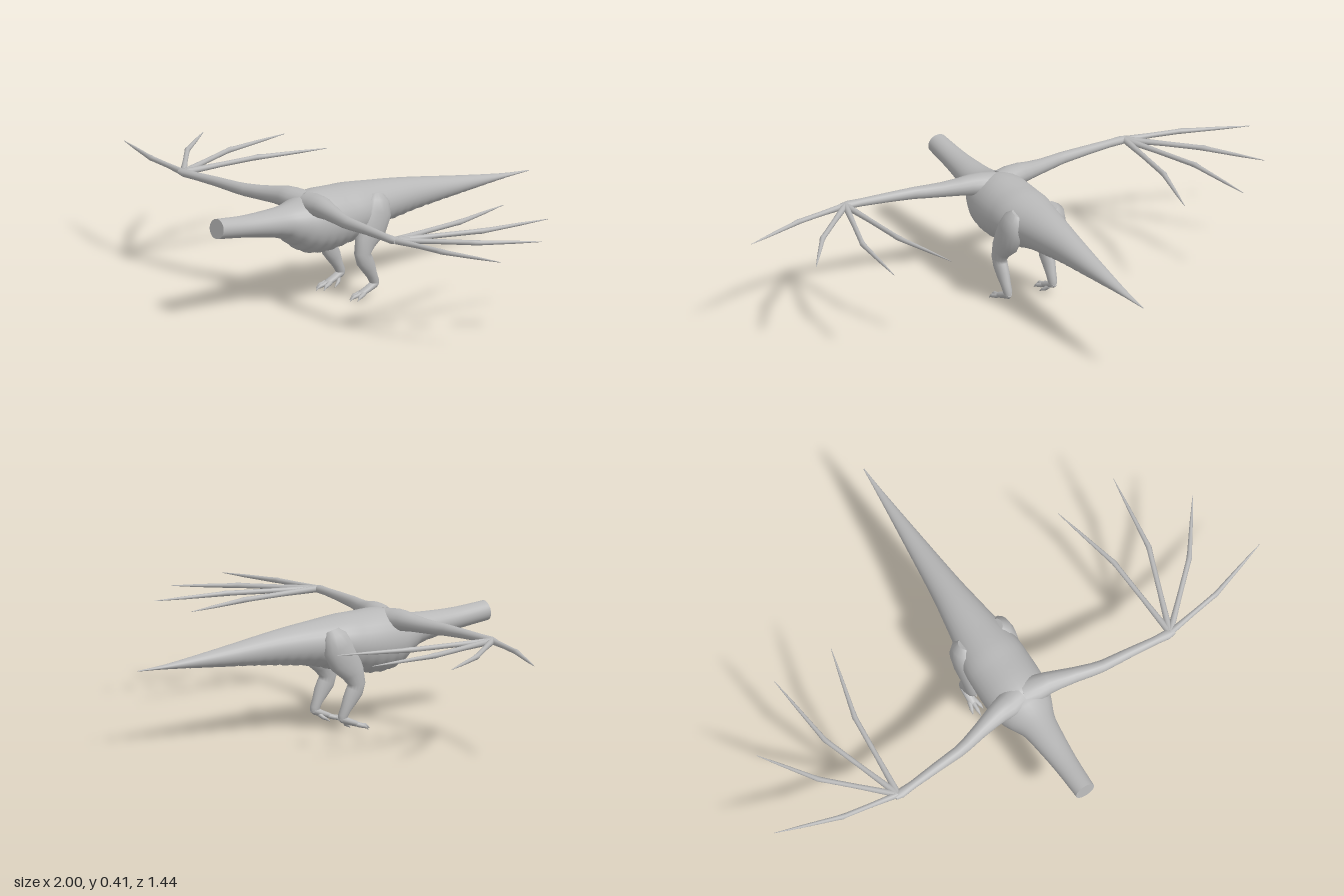
import * as THREE from 'three';

const skin = new THREE.MeshStandardMaterial({ color: 0xb8b8b8 });
skin.name = 'grey skin';

// Closed skin over elliptical rings [x, y, z, sideRadius, refRadius]; ref is the direction of the second radius.
function loft(rings, ref, sides) {
  const pos = [], idx = [];
  const centres = rings.map(r => new THREE.Vector3(r[0], r[1], r[2]));
  const n = rings.length;
  rings.forEach((r, i) => {
    const t = centres[Math.min(i + 1, n - 1)].clone().sub(centres[Math.max(i - 1, 0)]).normalize();
    const u = ref.clone().cross(t).normalize();
    const v = t.clone().cross(u);
    for (let j = 0; j < sides; j++) {
      const a = (j / sides) * Math.PI * 2;
      const p = centres[i].clone()
        .addScaledVector(u, Math.cos(a) * r[3])
        .addScaledVector(v, Math.sin(a) * (r[4] ?? r[3]));
      pos.push(p.x, p.y, p.z);
    }
  });
  for (let i = 0; i < n - 1; i++) {
    for (let j = 0; j < sides; j++) {
      const a = i * sides + j, b = i * sides + (j + 1) % sides;
      idx.push(a, b, a + sides, b, b + sides, a + sides);
    }
  }
  // Flat end caps with their own vertices keep a hard rim
  for (const end of [0, n - 1]) {
    const base = pos.length / 3;
    for (let j = 0; j < sides; j++) {
      const k = (end * sides + j) * 3;
      pos.push(pos[k], pos[k + 1], pos[k + 2]);
    }
    for (let j = 1; j < sides - 1; j++) {
      if (end) idx.push(base, base + j, base + j + 1);
      else idx.push(base, base + j + 1, base + j);
    }
  }
  const g = new THREE.BufferGeometry();
  g.setAttribute('position', new THREE.Float32BufferAttribute(pos, 3));
  g.setIndex(idx);
  g.computeVertexNormals();
  return g;
}

const UP = new THREE.Vector3(0, 1, 0);
const FORWARD = new THREE.Vector3(0, 0, 1);

function part(name, geometry) {
  const m = new THREE.Mesh(geometry, skin);
  m.name = name;
  return m;
}

// Neck, trunk and tail in one skin, with overlapping belly scutes
function makeBody() {
  // [z, top, bottom, half width]
  const profile = [
    [0.72, 0.383, 0.312, 0.037], [0.6, 0.372, 0.295, 0.043], [0.5, 0.37, 0.277, 0.053],
    [0.42, 0.373, 0.258, 0.065], [0.36, 0.388, 0.222, 0.09], [0.31, 0.402, 0.192, 0.108],
    [0.25, 0.406, 0.183, 0.114], [0.17, 0.402, 0.192, 0.114], [0.1, 0.399, 0.206, 0.11],
    [0.0, 0.387, 0.23, 0.088], [-0.1, 0.375, 0.242, 0.071], [-0.2, 0.36, 0.252, 0.056],
    [-0.4, 0.327, 0.266, 0.034], [-0.6, 0.297, 0.279, 0.013], [-0.72, 0.286, 0.283, 0.002],
  ];
  const curve = f => new THREE.CatmullRomCurve3(profile.map(f), false, 'catmullrom', 0.5);
  const topLine = curve(p => new THREE.Vector3(0, p[1], p[0]));
  const lowLine = curve(p => new THREE.Vector3(p[3], p[2], p[0]));
  const rings = [];
  const steps = 168;
  for (let i = 0; i <= steps; i++) {
    const a = topLine.getPoint(i / steps), b = lowLine.getPoint(i / steps);
    rings.push([0, (a.y + b.y) / 2, a.z, b.x, (a.y - b.y) / 2]);
  }
  const sides = 28;
  const g = loft(rings, UP, sides);
  const p = g.attributes.position;
  for (let k = 0; k < (steps + 1) * sides; k++) {
    const ring = rings[Math.floor(k / sides)];
    const down = Math.max(0, (ring[1] - p.getY(k)) / ring[4] - 0.25);
    const z = p.getZ(k);
    if (z > 0.55 || down === 0) continue;
    const phase = (((0.55 - z) / 0.043) % 1 + 1) % 1;
    const fade = Math.min(1, (0.55 - z) / 0.15);
    p.setY(k, p.getY(k) - down * fade * ring[4] * 0.1 * (Math.sin(phase * Math.PI) - 0.3));
  }
  g.computeVertexNormals();
  return part('body', g);
}

// Arm and four bare wing fingers
function makeWing(s) {
  const wing = new THREE.Group();
  wing.name = s > 0 ? 'leftWing' : 'rightWing';
  const flip = rings => rings.map(r => [r[0] * s, ...r.slice(1)]);
  wing.add(part('arm', loft(flip([
    [0.01, 0.362, 0.3, 0.05, 0.04], [0.06, 0.367, 0.312, 0.047, 0.04], [0.1, 0.369, 0.318, 0.04, 0.037],
    [0.14, 0.367, 0.327, 0.034, 0.031], [0.2, 0.364, 0.342, 0.027, 0.026], [0.26, 0.363, 0.358, 0.023, 0.023],
    [0.3, 0.364, 0.366, 0.021, 0.021], [0.4, 0.366, 0.375, 0.018, 0.017], [0.5, 0.366, 0.385, 0.015, 0.014],
    [0.55, 0.366, 0.389, 0.018, 0.014], [0.575, 0.366, 0.391, 0.011, 0.009],
  ]), UP, 16)));
  // [joint x, joint z, tip x, tip z]
  const fingers = [
    [0.77, 0.353, 1.0, 0.277], [0.765, 0.19, 0.9, 0.0],
    [0.668, 0.08, 0.7, -0.2], [0.535, 0.065, 0.468, -0.195],
  ];
  fingers.forEach(([jx, jz, tx, tz], i) => {
    const mix = (a, b, t) => a + (b - a) * t;
    wing.add(part('finger' + (i + 1), loft(flip([
      [0.56, 0.366, 0.388, 0.012], [mix(0.56, jx, 0.5), 0.366, mix(0.388, jz, 0.5), 0.009],
      [mix(0.56, jx, 0.93), 0.365, mix(0.388, jz, 0.93), 0.009], [jx, 0.365, jz, 0.01],
      [mix(jx, tx, 0.1), 0.364, mix(jz, tz, 0.1), 0.0085],
      [mix(jx, tx, 0.6), 0.363, mix(jz, tz, 0.6), 0.0055], [tx, 0.362, tz, 0.001],
    ]), UP, 10)));
  });
  return wing;
}

// Leg with a bent knee, a foot and clawed toes
function makeLeg(s) {
  const leg = new THREE.Group();
  leg.name = s > 0 ? 'leftLeg' : 'rightLeg';
  const flip = rings => rings.map(r => [r[0] * s, ...r.slice(1)]);
  leg.add(part('thighAndShin', loft(flip([
    [0.07, 0.36, 0.04, 0.018, 0.025], [0.078, 0.34, 0.045, 0.035, 0.046], [0.084, 0.3, 0.055, 0.04, 0.06],
    [0.088, 0.25, 0.08, 0.036, 0.06], [0.091, 0.205, 0.113, 0.029, 0.044], [0.092, 0.165, 0.127, 0.025, 0.033],
    [0.092, 0.14, 0.118, 0.024, 0.033], [0.092, 0.11, 0.099, 0.022, 0.028], [0.091, 0.08, 0.083, 0.018, 0.02],
    [0.09, 0.055, 0.071, 0.016, 0.018], [0.09, 0.038, 0.068, 0.012, 0.013],
  ]), FORWARD, 16)));
  leg.add(part('foot', loft(flip([
    [0.09, 0.05, 0.058, 0.009, 0.009], [0.09, 0.045, 0.07, 0.016, 0.014],
    [0.09, 0.032, 0.1, 0.016, 0.012], [0.09, 0.022, 0.128, 0.016, 0.01], [0.09, 0.017, 0.14, 0.01, 0.007],
  ]), UP, 12)));
  // [sideways spread, reach]
  for (const [dx, z] of [[-0.021, 0.165], [0, 0.183], [0.021, 0.165]]) {
    const at = (t, y, r) => [0.09 + dx * (0.35 + 0.65 * t), y, 0.118 + (z - 0.118) * t, r];
    leg.add(part('toe', loft(flip([
      at(0, 0.024, 0.007), at(0.3, 0.019, 0.0085), at(0.55, 0.015, 0.007),
      at(0.68, 0.014, 0.0075), at(0.85, 0.009, 0.004), at(1, 0.001, 0.0008),
    ]), UP, 10)));
  }
  leg.add(part('innerToe', loft(flip([
    [0.083, 0.032, 0.085, 0.008], [0.073, 0.021, 0.095, 0.007], [0.068, 0.015, 0.106, 0.005], [0.065, 0.006, 0.118, 0.001],
  ]), UP, 10)));
  return leg;
}

export function createModel() {
  const model = new THREE.Group();
  model.name = 'wingedReptile';
  model.add(makeBody());
  for (const s of [1, -1]) model.add(makeWing(s), makeLeg(s));
  return model;
}
